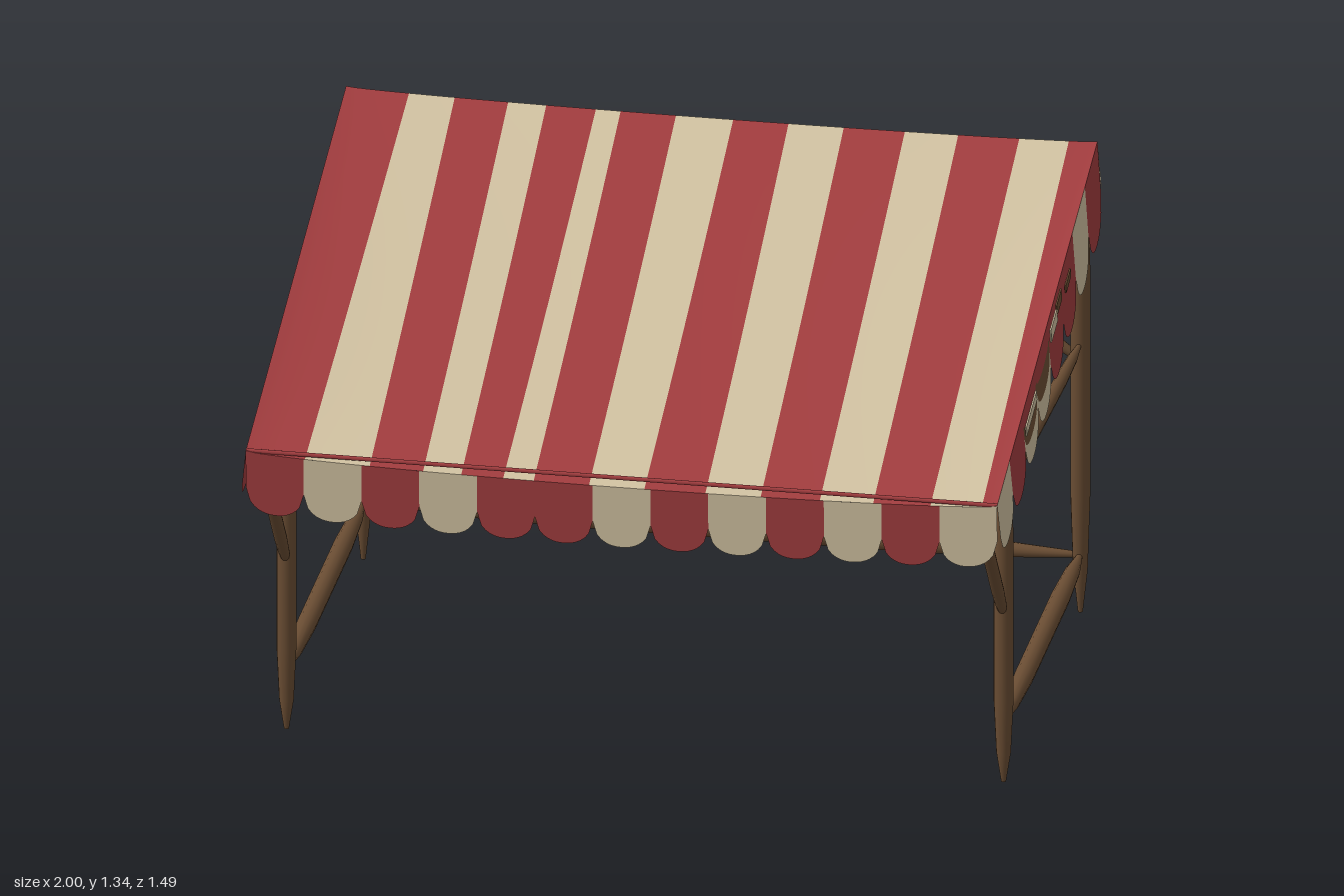
import * as THREE from 'three';

const mat = (name, color) => {
  const m = new THREE.MeshStandardMaterial({ color, side: THREE.DoubleSide });
  m.name = name;
  return m;
};

// Smooth sheet from a rule (u, v) -> [x, y, z]
function sheet(fn, nu, nv) {
  const pos = [], idx = [];
  for (let j = 0; j <= nv; j++)
    for (let i = 0; i <= nu; i++) pos.push(...fn(i / nu, j / nv));
  for (let j = 0; j < nv; j++)
    for (let i = 0; i < nu; i++) {
      const a = j * (nu + 1) + i, b = a + nu + 1;
      idx.push(a, a + 1, b, b, a + 1, b + 1);
    }
  const g = new THREE.BufferGeometry();
  g.setAttribute('position', new THREE.Float32BufferAttribute(pos, 3));
  g.setIndex(idx);
  g.computeVertexNormals();
  return g;
}

const lerp = THREE.MathUtils.lerp;
const HALF = 0.985, FRONT = 0.745, BACK = -0.68;
const edgeY = (t) => lerp(0.92, 1.335, t); // t: 0 front, 1 back
const edgeZ = (t) => lerp(FRONT, BACK, t);

// Roof cloth height: straight edges, gently sagging middle
function roofPoint(x, t) {
  const k = Math.pow(Math.max(0, 1 - (x / HALF) ** 2), 0.6);
  const sag = k * (lerp(0.026, 0.014, t) + 0.012 * Math.sin(Math.PI * t));
  return [x, edgeY(t) - sag, edgeZ(t)];
}

export function createModel() {
  const red = mat('red cloth', 0xa03c3e);
  const cream = mat('cream cloth', 0xcfc0a0);
  const wood = mat('brown wood', 0x6a4d33);
  const model = new THREE.Group();
  model.name = 'marketCanopy';

  const group = (name) => {
    const g = new THREE.Group();
    g.name = name;
    model.add(g);
    return g;
  };
  const add = (parent, name, geometry, material) => {
    const m = new THREE.Mesh(geometry, material);
    m.name = name;
    parent.add(m);
    return m;
  };

  // Striped roof: stripe borders as [x at back, x at front]
  const roof = group('roof');
  const borders = [
    [-HALF, -HALF], [-0.82, -0.83], [-0.70, -0.66], [-0.56, -0.52], [-0.46, -0.42],
    [-0.33, -0.31], [-0.265, -0.23], [-0.12, -0.085], [0.03, 0.06], [0.175, 0.22],
    [0.32, 0.365], [0.48, 0.52], [0.62, 0.66], [0.78, 0.81], [0.91, 0.945], [HALF, HALF],
  ];
  for (let i = 0; i < borders.length - 1; i++) {
    const [b0, f0] = borders[i], [b1, f1] = borders[i + 1];
    const g = sheet((u, v) => roofPoint(lerp(lerp(f0, b0, v), lerp(f1, b1, v), u), v), 6, 24);
    add(roof, 'roofStripe', g, i % 2 ? cream : red);
  }

  // Scalloped valance: each entry lists colours from the top row down
  function valance(name, colours, top, drop, flare) {
    const parent = group(name), n = colours.length;
    colours.forEach((rows, i) => {
      rows.forEach((material, r) => {
        const g = sheet((u, v) => {
          const s = (i + u) / n;
          const round = Math.sqrt(Math.max(0, 1 - Math.abs(2 * u - 1) ** 2.2));
          const d = (0.6 + 0.4 * round) * (r + v) / rows.length;
          const p = top(s);
          return [p[0] + flare[0] * d, p[1] - drop(s) * d, p[2] + flare[1] * d];
        }, 14, 4);
        add(parent, 'scallop', g, material);
      });
    });
  }
  const R = [red], C = [cream], W = [red, wood, cream];
  valance('frontValance', [R, C, R, C, R, R, C, R, C, R, C, R, C],
    (s) => roofPoint(lerp(-HALF, HALF, s), 0), () => 0.17, [0, -0.004]);
  valance('backValance', [R, C, R, C, R, C, R, C, R, C, R, C, R],
    (s) => roofPoint(lerp(-HALF, HALF, s), 1), () => 0.215, [0, -0.066]);
  valance('leftValance', [C, R, W, W, R, R, C, R],
    (s) => roofPoint(HALF, s), (s) => lerp(0.15, 0.235, s), [0.015, 0]);
  valance('rightValance', [R, C, R, C, R, C, R, C],
    (s) => roofPoint(-HALF, s), (s) => lerp(0.15, 0.235, s), [-0.015, 0]);

  // Corner gussets closing the flared back corners
  for (const x of [-1, 1]) {
    const g = sheet((u, v) => [x * (HALF + 0.012 * v * (1 - u)),
      1.335 - v * lerp(0.14, 0.13, u), BACK - 0.04 * v * u], 4, 4);
    add(model, 'backCornerGusset', g, cream);
  }

  // Cream and brown patches on the left valance: [z, y, width, height, material]
  for (const [z, y, w, h, m] of [
    [0.31, 0.995, 0.15, 0.03, cream], [-0.01, 1.105, 0.09, 0.04, cream],
    [-0.08, 1.14, 0.07, 0.035, wood], [-0.21, 1.145, 0.07, 0.025, wood],
  ]) {
    const p = add(model, 'clothPatch', new THREE.BoxGeometry(0.004, h, w), m);
    p.position.set(0.994, y, z);
    p.rotation.x = 0.28;
  }

  // Wooden pole tapering toward its ends
  function pole(name, a, b, r, tipA = 0.35, tipB = 0.35) {
    const A = new THREE.Vector3(...a), B = new THREE.Vector3(...b);
    const L = A.distanceTo(B);
    const profile = [[0, 0], [tipA, 0], [lerp(tipA, 1, 0.65), 0.09], [1, 0.25],
      [1, 0.75], [lerp(tipB, 1, 0.65), 0.91], [tipB, 1], [0, 1]]
      .map(([k, t]) => new THREE.Vector2(k * r, t * L));
    const m = add(frame, name, new THREE.LatheGeometry(profile, 12), wood);
    m.position.copy(A);
    m.quaternion.setFromUnitVectors(new THREE.Vector3(0, 1, 0), B.sub(A).normalize());
  }
  const frame = group('frame');
  for (const s of [-1, 1]) {
    const x = 0.94 * s;
    pole('frontPost', [x, 0, 0.41], [x, 0.91, 0.41], 0.026, 0.25, 0.7);
    pole('backPost', [x, 0.01, -0.68], [x, 1.31, -0.68], 0.026, 0.25, 0.7);
    pole('lowerSideRail', [x, 0.17, 0.39], [x, 0.17, -0.66], 0.026);
    pole('upperSideRail', [x, 0.82, 0.39], [x, 0.765, -0.66], 0.018);
    pole('frontBrace', [x, 0.48, 0.42], [x, 0.84, 0.71], 0.017, 0.6, 0.6);
    pole('backBrace', [x, 0.72, -0.68], [0.27 * s, 1.18, -0.68], 0.018, 0.6, 0.6);
  }
  pole('lowerBackRail', [0.92, 0.17, -0.68], [-0.84, 0.17, -0.68], 0.026);

  // Taut cord along the front edge, above the sagging cloth
  const cord = add(model, 'frontCord', new THREE.CylinderGeometry(0.006, 0.006, 2 * HALF, 8), red);
  cord.rotation.z = Math.PI / 2;
  cord.position.set(0, 0.918, 0.738);

  return model;
}
